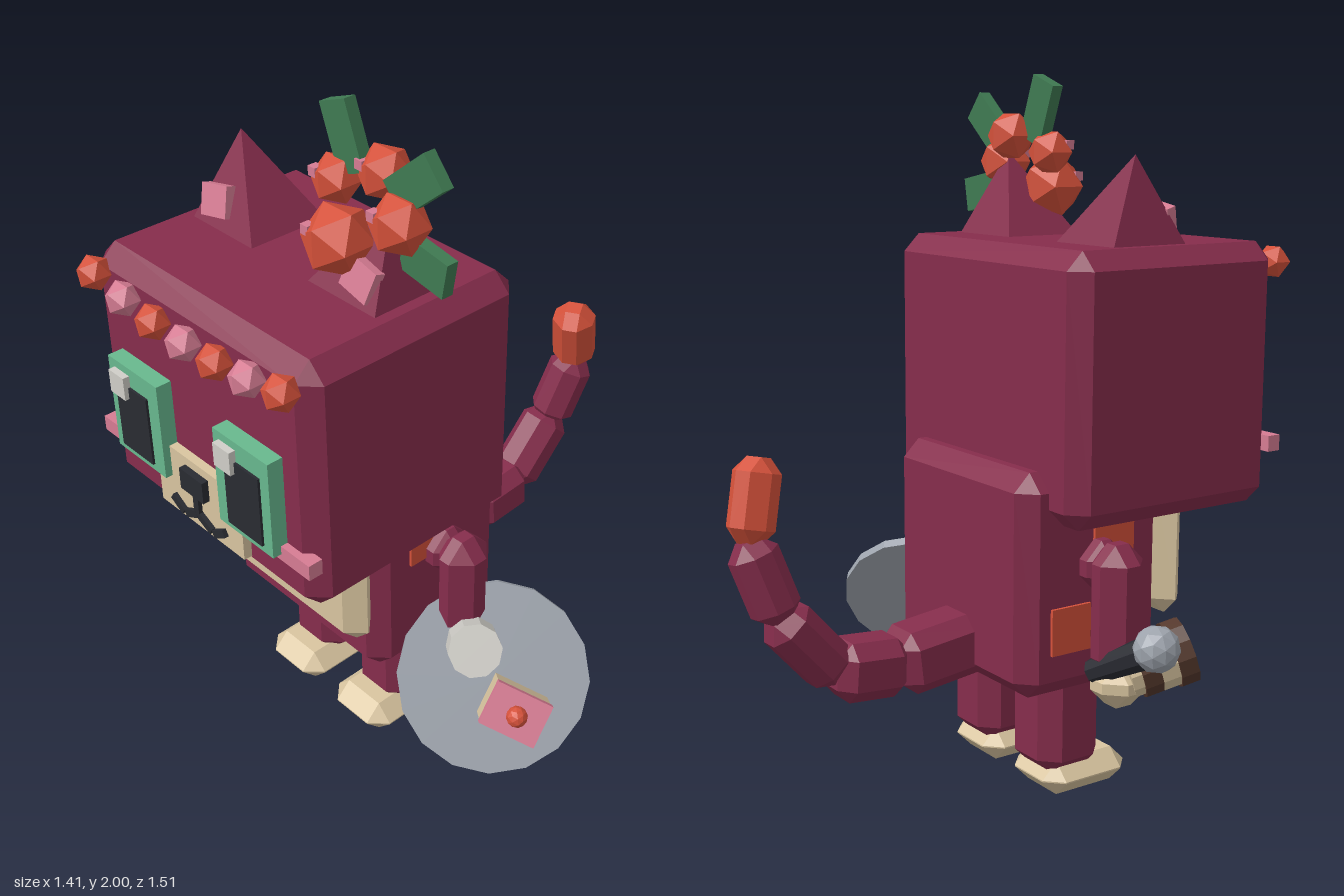
import * as THREE from 'three';
import { ConvexGeometry } from 'three/addons/geometries/ConvexGeometry.js';

const V = (x, y, z) => new THREE.Vector3(x, y, z);
const UP = V(0, 1, 0);
const CX = -0.078; // the body's own mirror plane

function paint(name, hex) {
  const m = new THREE.MeshStandardMaterial({ color: hex, flatShading: true });
  m.name = name;
  return m;
}

// Box with chamfered edges and cut corners
function chamferBox(w, h, d, bevel = 0.05) {
  const b = Math.min(bevel, Math.min(w, h, d) * 0.48);
  const x = w / 2, y = h / 2, z = d / 2, pts = [];
  for (const i of [-1, 1]) for (const j of [-1, 1]) for (const k of [-1, 1]) {
    pts.push(V(i * x, j * (y - b), k * (z - b)));
    pts.push(V(i * (x - b), j * y, k * (z - b)));
    pts.push(V(i * (x - b), j * (y - b), k * z));
  }
  return new ConvexGeometry(pts);
}

export function createModel() {
  const fur = paint('berry fur', 0x862d4c);
  const cream = paint('cream', 0xd9c5a0);
  const mint = paint('mint', 0x68b88e);
  const leaf = paint('leaf green', 0x3f7a52);
  const orange = paint('strawberry orange', 0xd5513a);
  const pink = paint('icing pink', 0xd67c93);
  const black = paint('charcoal', 0x292b32);
  const grey = paint('plate grey', 0x9da3ac);
  const white = paint('pale grey', 0xd0cec8);
  const brown = paint('chocolate', 0x54382c);

  const model = new THREE.Group();
  model.name = 'cat';

  function add(name, geo, mat, x, y, z, parent = model) {
    const m = new THREE.Mesh(geo, mat);
    m.name = name;
    m.position.set(x, y, z);
    parent.add(m);
    return m;
  }
  // Boxes given by their limits on each axis
  function span(name, mat, x0, x1, y0, y1, z0, z1, bevel = 0) {
    const w = x1 - x0, h = y1 - y0, d = z1 - z0;
    const geo = bevel ? chamferBox(w, h, d, bevel) : new THREE.BoxGeometry(w, h, d);
    return add(name, geo, mat, (x0 + x1) / 2, (y0 + y1) / 2, (z0 + z1) / 2);
  }
  // Group whose y axis points along a direction
  function axisGroup(name, origin, dir) {
    const g = new THREE.Group();
    g.name = name;
    g.position.copy(origin);
    g.quaternion.setFromUnitVectors(UP, dir.clone().normalize());
    model.add(g);
    return g;
  }

  // Head, body and belly
  span('head', fur, -0.515, 0.36, 0.82, 1.55, -0.02, 0.68, 0.05);
  span('body', fur, -0.402, 0.246, 0.34, 0.965, -0.097, 0.385, 0.05);
  span('belly', cream, -0.41, 0.254, 0.5, 0.95, 0.375, 0.475, 0.05);

  // Parts mirrored left and right
  for (const s of [-1, 1]) {
    const at = (d) => CX + s * d;
    const side = s > 0 ? 'left' : 'right';
    add(side + 'Leg', chamferBox(0.207, 0.36, 0.21), fur, at(0.149), 0.24, 0.145);
    add(side + 'Foot', chamferBox(0.23, 0.1, 0.29), cream, at(0.149), 0.05, 0.195);
    add(side + 'Shoulder', chamferBox(0.13, 0.145, 0.13), fur, at(0.345), 0.7, 0.145);
    add(side + 'Arm', chamferBox(0.135, 0.36, 0.145), fur, at(0.41), 0.595, 0.145);
    add(side + 'Paw', chamferBox(0.15, 0.13, 0.15), cream, at(0.415), 0.39, 0.15);
    add(side + 'UpperPatch', new THREE.BoxGeometry(0.02, 0.12, 0.135), orange, at(0.323), 0.75, 0.198);
    add(side + 'LowerPatch', new THREE.BoxGeometry(0.02, 0.13, 0.13), orange, at(0.323), 0.53, 0.055);

    // Ear: square pyramid leaning outward
    const ear = new THREE.ConeGeometry(0.184, 0.25, 4).toNonIndexed();
    ear.rotateY(Math.PI / 4);
    const p = ear.attributes.position;
    for (let i = 0; i < p.count; i++) p.setX(i, p.getX(i) + s * 0.058 * (p.getY(i) / 0.25 + 0.5));
    ear.computeVertexNormals();
    add(side + 'Ear', ear, fur, at(0.23), 1.66, 0.28);
    add(side + 'InnerEar', new THREE.BoxGeometry(0.1, 0.085, 0.03), pink, at(0.28), 1.615, 0.375)
      .rotation.set(-0.3, 0, -s * 0.2);

    // Face
    add(side + 'EyeFrame', new THREE.BoxGeometry(0.214, 0.285, 0.06), mint, at(0.224), 1.128, 0.696);
    add(side + 'Pupil', new THREE.BoxGeometry(0.135, 0.205, 0.02), black, at(0.23), 1.11, 0.723);
    add(side + 'EyeShine', new THREE.BoxGeometry(0.065, 0.068, 0.025), white,
      s < 0 ? -0.35 : 0.095, 1.213, 0.733);
    add(side + 'Cheek', new THREE.BoxGeometry(0.125, 0.045, 0.042), pink, at(0.375), 0.988, 0.68);
    for (const [d, a] of [[0.03, -0.45], [0.088, 0.55]]) {
      add(side + 'Mouth', new THREE.BoxGeometry(0.055, 0.022, 0.015), black, at(d), 0.912, 0.71)
        .rotation.z = s * a;
    }
  }
  span('muzzle', cream, -0.255, 0.1, 0.875, 1.08, 0.66, 0.705);
  span('nose', black, -0.13, -0.033, 0.99, 1.055, 0.7, 0.725);
  span('noseStem', black, -0.092, -0.07, 0.92, 0.99, 0.7, 0.717);

  // Headband of alternating beads
  for (let i = 0; i < 7; i++) {
    const t = (i - 3) / 3;
    add('bead', new THREE.IcosahedronGeometry(0.049, 0), i % 2 ? pink : orange,
      CX + 0.377 * t, 1.45 + 0.04 * t * t, 0.708);
  }

  // Berry cluster with small pips, and leaves
  for (const [x, y, z, r] of [[0.02, 1.785, 0.29, 0.067], [0.147, 1.83, 0.245, 0.074],
    [0.26, 1.755, 0.305, 0.08], [0.115, 1.685, 0.37, 0.096]]) {
    add('berry', new THREE.IcosahedronGeometry(r, 0), orange, x, y, z);
    add('berryPip', new THREE.BoxGeometry(0.026, 0.026, 0.026), pink, x - r * 0.5, y + r * 0.3, z + r * 0.55);
  }
  for (const [x, y, len, a] of [[0.045, 1.9, 0.18, 0.36], [0.29, 1.86, 0.18, -0.87], [0.325, 1.665, 0.15, -1.75]]) {
    add('leaf', new THREE.BoxGeometry(0.098, len, 0.035), leaf, x, y, 0.275).rotation.z = a;
  }

  // Tail: chamfered links along a curl
  const curl = [V(CX, 0.44, -0.04), V(CX, 0.41, -0.295), V(CX, 0.425, -0.49),
    V(-0.07, 0.6, -0.645), V(-0.035, 0.8, -0.71), V(-0.005, 1.02, -0.66)];
  const thick = [0.18, 0.165, 0.14, 0.13, 0.125];
  thick.forEach((t, i) => {
    const dir = curl[i + 1].clone().sub(curl[i]);
    const mid = curl[i].clone().add(curl[i + 1]).multiplyScalar(0.5);
    const tip = i === 4;
    const link = axisGroup(tip ? 'tailTip' : 'tailLink', mid, dir);
    const m = add('link', chamferBox(t, dir.length() + (tip ? 0 : 0.025), t, 0.04), tip ? orange : fur, 0, 0, 0, link);
    if (tip) m.rotation.y = 0.5;
  });

  // Plate with a cake slice and a cup
  const plate = axisGroup('servingPlate', V(0.48, 0.37, 0.165), V(0.63, 0.52, 0.55));
  add('plate', new THREE.CylinderGeometry(0.27, 0.27, 0.03, 16), grey, 0, 0, 0, plate);
  add('cup', new THREE.CylinderGeometry(0.075, 0.075, 0.12, 10), white, -0.113, 0.07, -0.023, plate);
  const cake = new THREE.Group();
  cake.name = 'cakeSlice';
  cake.position.set(0.09, 0, 0.012);
  cake.rotation.y = 0.38;
  plate.add(cake);
  add('sponge', new THREE.BoxGeometry(0.16, 0.1, 0.12), cream, 0, 0.06, 0, cake);
  add('icing', new THREE.BoxGeometry(0.165, 0.03, 0.125), pink, 0, 0.122, 0, cake);
  add('cherry', new THREE.IcosahedronGeometry(0.03, 1), orange, 0, 0.155, 0, cake);

  // Layered roll held in the other paw
  const roll = axisGroup('layeredRoll', V(-0.51, 0.42, 0.16), V(-0.38, 0.3, 0.87));
  [[cream, 0.075, 0.03], [brown, 0.085, 0.05], [cream, 0.085, 0.05], [brown, 0.092, 0.05]]
    .reduce((y, [mat, r, h]) => {
      add('rollLayer', new THREE.CylinderGeometry(r, r, h, 12), mat, 0, y + h / 2, 0, roll);
      return y + h;
    }, 0);

  // Handle with a round grey head
  const handle = axisGroup('ballHandle', V(-0.46, 0.42, 0.09), V(-0.195, 0.11, 0.06));
  add('handle', new THREE.CylinderGeometry(0.045, 0.035, 0.2, 8), black, 0, 0.1, 0, handle);
  add('ballHead', new THREE.IcosahedronGeometry(0.064, 1), grey, 0, 0.225, 0, handle);

  return model;
}
